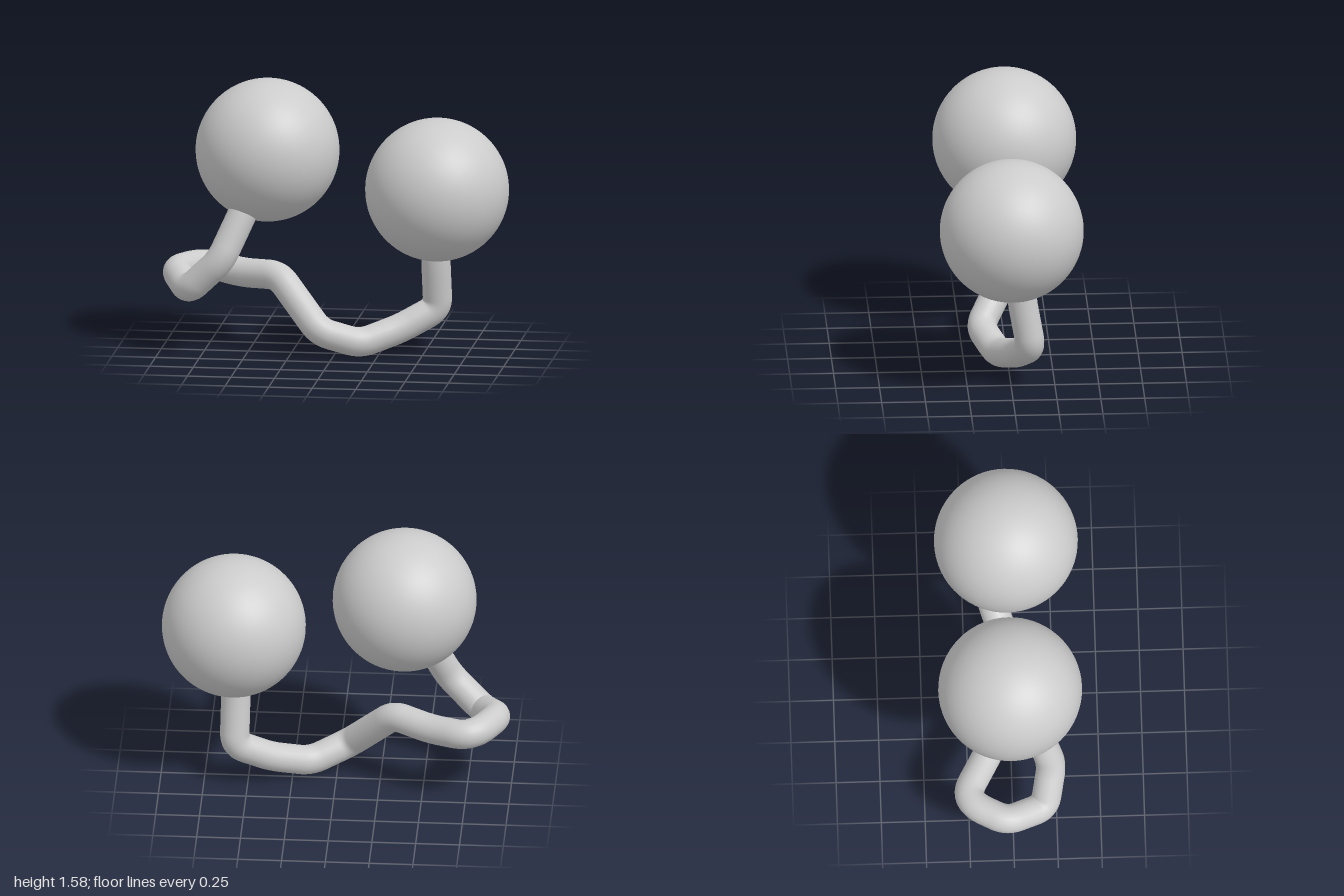
import * as THREE from 'three';

// Polyline path with softly rounded bends
function roundedPath(points, bend) {
  const path = new THREE.CurvePath();
  let start = points[0];
  for (let i = 1; i < points.length - 1; i++) {
    const p = points[i];
    const toward = (q) => {
      const d = Math.min(bend, p.distanceTo(q) * 0.45);
      return p.clone().add(q.clone().sub(p).setLength(d));
    };
    const a = toward(points[i - 1]);
    const b = toward(points[i + 1]);
    path.add(new THREE.LineCurve3(start, a));
    path.add(new THREE.QuadraticBezierCurve3(a, p, b));
    start = b;
  }
  path.add(new THREE.LineCurve3(start, points[points.length - 1]));
  return path;
}

export function createModel() {
  const group = new THREE.Group();
  const material = new THREE.MeshStandardMaterial({ color: 0xcccccc });

  const add = (name, geometry, position = [0, 0, 0]) => {
    const mesh = new THREE.Mesh(geometry, material);
    mesh.name = name;
    mesh.position.set(...position);
    group.add(mesh);
  };

  // The two balls
  const ball = new THREE.SphereGeometry(0.41, 64, 48);
  add('rightBall', ball, [-0.39, 1.185, -0.005]);
  add('leftBall', ball, [0.585, 0.98, 0]);

  // Bent rod joining them, both ends buried in the balls
  const points = [
    [0.57, 0.75, -0.04],
    [0.57, 0.55, -0.06],
    [0.575, 0.27, -0.11],
    [0.37, 0.16, -0.04],
    [0.15, 0.085, 0.06],
    [-0.07, 0.165, 0.15],
    [-0.33, 0.45, -0.04],
    [-0.55, 0.435, -0.16],
    [-0.74, 0.455, -0.26],
    [-0.83, 0.465, -0.22],
    [-0.925, 0.465, -0.04],
    [-0.82, 0.395, 0.18],
    [-0.63, 0.58, 0.225],
    [-0.51, 0.85, 0.14],
    [-0.45, 1.0, 0.09],
  ].map((p) => new THREE.Vector3(...p));
  add('bentRod', new THREE.TubeGeometry(roundedPath(points, 0.07), 240, 0.084, 24, false));

  return group;
}
